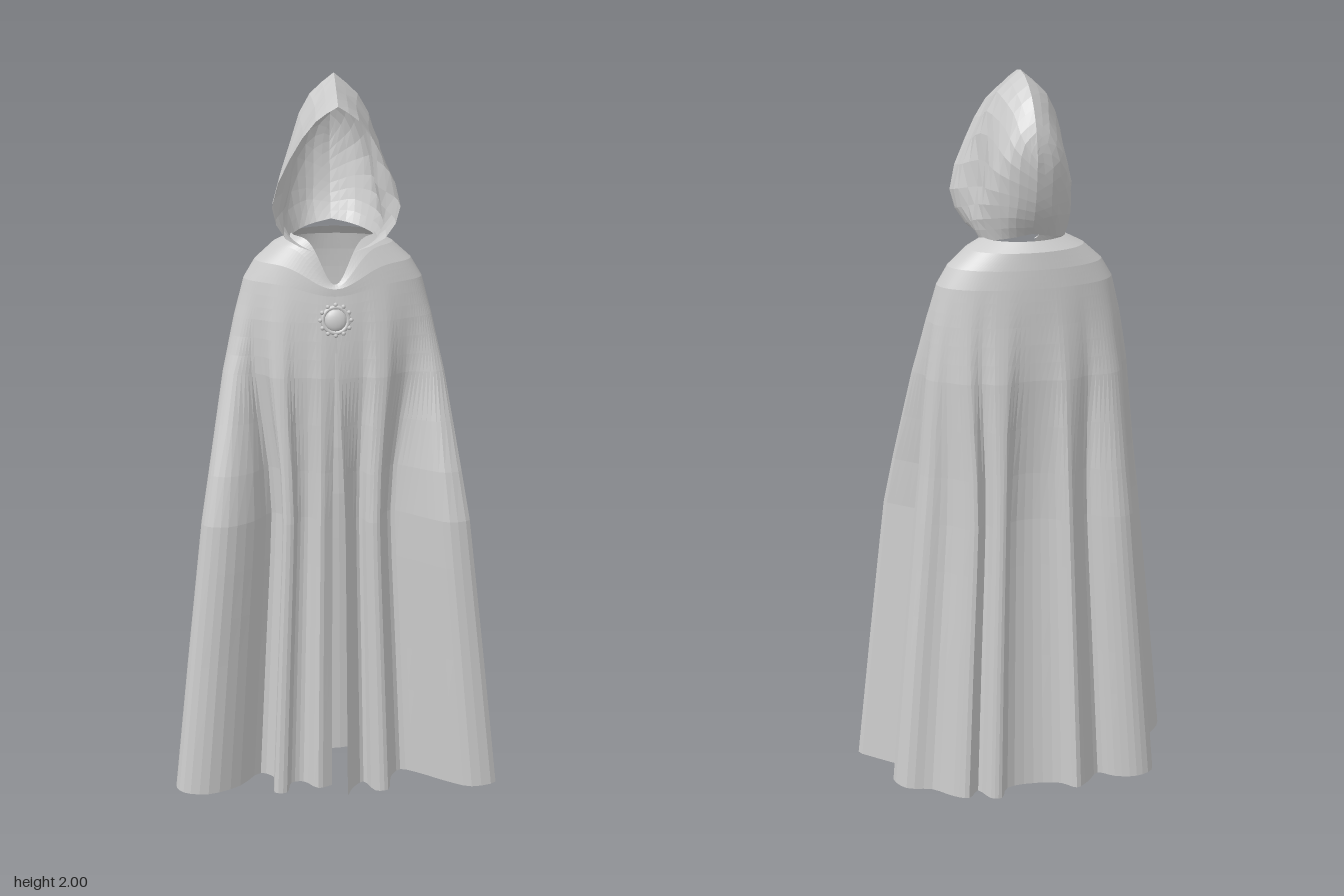
import * as THREE from 'three';

const cloth = new THREE.MeshStandardMaterial({ color: 0xcccccc, flatShading: true, side: THREE.DoubleSide });
const metal = new THREE.MeshStandardMaterial({ color: 0xcccccc });
const lerp = THREE.MathUtils.lerp;
const curve = (pts) => new THREE.CatmullRomCurve3(pts.map((p) => (p.isVector3 ? p : new THREE.Vector3(...p))));

// Skin a grid of points (rows of equal length)
function sheet(name, rows) {
  const n = rows[0].length, index = [];
  for (let i = 0; i < rows.length - 1; i++) {
    for (let j = 0; j < n - 1; j++) {
      const a = i * n + j, b = a + n;
      index.push(a, b, a + 1, b, b + 1, a + 1);
    }
  }
  const geo = new THREE.BufferGeometry().setFromPoints(rows.flat());
  geo.setIndex(index);
  geo.computeVertexNormals();
  const mesh = new THREE.Mesh(geo, cloth);
  mesh.name = name;
  return mesh;
}

// Hem folds [x, z], from the front opening round to the middle of the back
const hemLeft = [
  [0.03, 0.18], [0.05, 0.13], [0.08, 0.1], [0.11, 0.16], [0.145, 0.16], [0.16, 0.08], [0.19, 0.04], [0.24, 0.07],
  [0.31, 0.13], [0.38, 0.175], [0.45, 0.155], [0.4, 0.1], [0.345, 0.04], [0.385, -0.03], [0.36, -0.09],
  [0.29, -0.11], [0.24, -0.16], [0.2, -0.18], [0.165, -0.14], [0.14, -0.19], [0.11, -0.195], [0.08, -0.14], [0, -0.125],
];
const hemRight = [
  [-0.01, 0.11], [-0.05, 0.13], [-0.09, 0.09], [-0.125, 0.1], [-0.14, 0.16], [-0.175, 0.16], [-0.17, 0.07], [-0.21, 0.04],
  [-0.27, 0.12], [-0.36, 0.175], [-0.43, 0.165], [-0.45, 0.12], [-0.39, 0.04], [-0.32, -0.03], [-0.35, -0.1],
  [-0.34, -0.16], [-0.29, -0.18], [-0.23, -0.16], [-0.19, -0.125], [-0.15, -0.165], [-0.11, -0.19], [-0.075, -0.15], [0, -0.125],
];

// Body levels: [y, half width, front z, back z, dip of the front neckline]
const levels = [
  [1.57, 0.11, 0.06, -0.1, 0.12], [1.545, 0.16, 0.07, -0.125, 0.1], [1.5, 0.21, 0.08, -0.132, 0.06],
  [1.45, 0.24, 0.085, -0.137, 0.03], [1.35, 0.267, 0.1, -0.145, 0], [1.2, 0.3, 0.12, -0.16, 0],
  [0.8, 0.365, 0.15, -0.175, 0], [0.4, 0.41, 0.165, -0.187, 0], [0.01, 0.45, 0.18, -0.2, 0],
];

function cloakBody() {
  const half = hemLeft.length - 1;
  const hem = curve([...hemLeft, ...hemRight.slice(0, -1).reverse()].map(([x, z]) => [x, 0, z]));
  const count = half * 6, steps = 3, rows = [];
  for (let i = 0; i <= (levels.length - 1) * steps; i++) {
    const k = Math.min(Math.floor(i / steps), levels.length - 2), f = i / steps - k;
    const [y, rx, zf, zb, dip] = levels[k].map((v, c) => lerp(v, levels[k + 1][c], f));
    // folds fade in below the shoulders
    const w = 1 - THREE.MathUtils.smoothstep(y, 0.75, 1.5);
    const row = [];
    for (let j = 0; j <= count; j++) {
      const t = j / count, a = t * Math.PI * 2, h = hem.getPoint(t);
      const c = Math.max(0, Math.cos(a)) ** 10;
      const ex = rx * Math.sin(a), ez = lerp(zb, zf, (1 + Math.cos(a)) / 2);
      const hx = (h.x * rx) / 0.45, hz = h.z > 0 ? (h.z * zf) / 0.18 : (h.z * zb) / -0.2;
      const hemRise = 0.02 * Math.abs(h.x) / 0.45 * (1 - Math.min(1, y / 0.4));
      row.push(new THREE.Vector3(lerp(ex, hx, w), y - dip * c + hemRise - 0.01 * (1 - Math.min(1, y)), lerp(ez, hz, w) + dip * c * 0.15));
    }
    rows.push(row);
  }
  return sheet('cloakBody', rows);
}

// Hood: half arches from the face opening to the back seam, each from crown to neck
const arches = [
  [[0, 1.94, 0.2], [0.055, 1.9, 0.18], [0.12, 1.8, 0.15], [0.167, 1.67, 0.13], [0.13, 1.58, 0.105], [0.05, 1.535, 0.07]],
  [[0, 1.975, 0.11], [0.055, 1.92, 0.105], [0.115, 1.81, 0.09], [0.158, 1.68, 0.085], [0.135, 1.59, 0.07], [0.09, 1.55, 0.05]],
  [[0, 2, 0.01], [0.06, 1.945, 0.01], [0.105, 1.84, 0.01], [0.12, 1.7, 0.01], [0.13, 1.61, 0.01], [0.115, 1.56, 0]],
  [[0, 1.955, -0.09], [0.05, 1.91, -0.085], [0.09, 1.82, -0.085], [0.105, 1.71, -0.08], [0.105, 1.63, -0.07], [0.09, 1.57, -0.06]],
  [[0, 1.88, -0.14], [0.035, 1.85, -0.138], [0.055, 1.78, -0.14], [0.06, 1.7, -0.13], [0.06, 1.64, -0.115], [0.05, 1.58, -0.09]],
  [[0, 1.82, -0.155], [0, 1.79, -0.157], [0, 1.74, -0.152], [0, 1.68, -0.14], [0, 1.63, -0.122], [0, 1.59, -0.1]],
];

function hood() {
  const n = 10, depth = 13;
  const strips = [];
  for (let j = 0; j <= n; j++) {
    strips.push(curve(arches.map((a) => curve(a).getPoint(j / n))));
  }
  const rows = [];
  for (let i = 0; i <= depth; i++) {
    const side = strips.map((s, j) => {
      const p = s.getPoint(i / depth);
      // soft slanting creases on the flanks
      const crease = Math.sin((i / depth) * 14 + j * 0.9) * Math.sin((j / n) * Math.PI) * Math.sin((i / depth) * Math.PI);
      p.x = j === 0 ? 0 : Math.max(0, p.x + 0.006 * crease);
      return p;
    });
    const mirrored = side.slice(1).map((p) => new THREE.Vector3(-p.x, p.y, p.z));
    rows.push([...side.reverse(), ...mirrored]);
  }
  return sheet('hood', rows);
}

// Round brooch with a beaded rim
function clasp() {
  const group = new THREE.Group();
  group.name = 'clasp';
  const add = (name, geo, x = 0, y = 0, z = 0) => {
    const mesh = new THREE.Mesh(geo, metal);
    mesh.name = name;
    mesh.position.set(x, y, z);
    group.add(mesh);
    return mesh;
  };
  add('claspRim', new THREE.TorusGeometry(0.034, 0.006, 6, 24));
  add('claspStone', new THREE.SphereGeometry(0.03, 16, 10)).scale.z = 0.4;
  for (let i = 0; i < 12; i++) {
    const a = (i / 12) * Math.PI * 2;
    add('claspBead', new THREE.SphereGeometry(0.006, 8, 6), Math.cos(a) * 0.041, Math.sin(a) * 0.041, 0.002);
  }
  group.position.set(0, 1.36, 0.104);
  group.rotation.x = -0.15;
  return group;
}

export function createModel() {
  const model = new THREE.Group();
  model.name = 'hoodedCloak';
  model.add(cloakBody(), hood(), clasp());
  return model;
}
